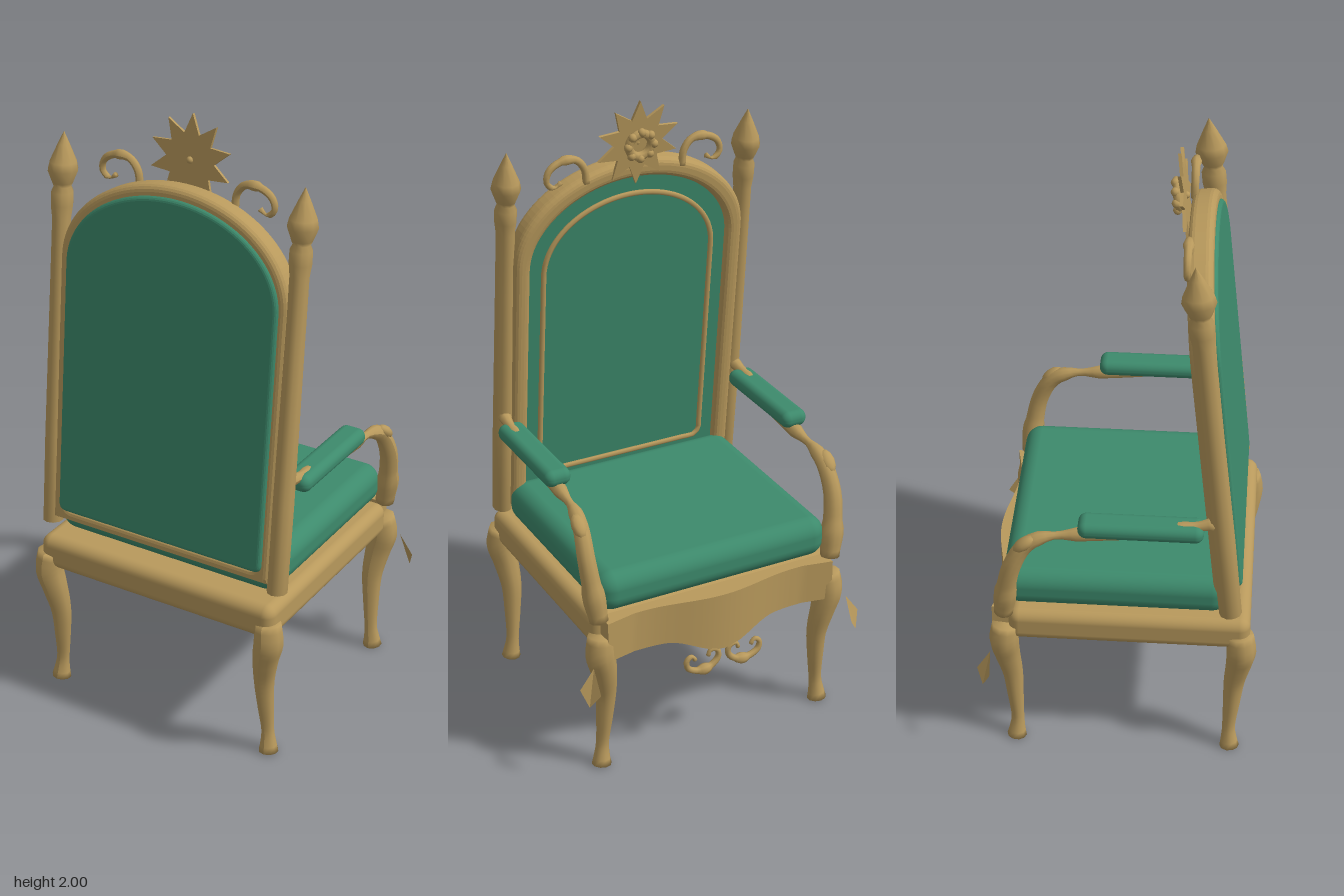
import * as THREE from 'three';
import { RoundedBoxGeometry } from 'three/addons/geometries/RoundedBoxGeometry.js';

const gold = new THREE.MeshStandardMaterial({ color: 0xb8995c, side: THREE.DoubleSide });
gold.name = 'gilded wood';
const green = new THREE.MeshStandardMaterial({ color: 0x3d8a6c });
green.name = 'green upholstery';

const vec = (p) => new THREE.Vector3(...p);

function add(parent, name, geo, mat, x = 0, y = 0, z = 0) {
  const mesh = new THREE.Mesh(geo, mat);
  mesh.name = name;
  mesh.position.set(x, y, z);
  parent.add(mesh);
  return mesh;
}

// Closed tube along points [x, y, z, radius], with flat end caps
function limb(points, sides = 10, n = 26) {
  const curve = new THREE.CatmullRomCurve3(points.map((p) => vec(p.slice(0, 3))));
  const radii = new THREE.CatmullRomCurve3(points.map((p) => new THREE.Vector3(p[3], 0, 0)));
  const geo = new THREE.TubeGeometry(curve, n, 1, sides, false);
  const pos = geo.attributes.position;
  for (let i = 0; i <= n; i++) {
    const from = curve.getPointAt(i / n);
    const t = Math.min(1, Math.max(0, (i - 1) / (n - 2)));
    const to = curve.getPointAt(t);
    const r = i === 0 || i === n ? 0 : radii.getPoint(curve.getUtoTmapping(t)).x;
    for (let j = 0; j <= sides; j++) {
      const k = i * (sides + 1) + j;
      const v = new THREE.Vector3().fromBufferAttribute(pos, k).sub(from).multiplyScalar(r).add(to);
      pos.setXYZ(k, v.x, v.y, v.z);
    }
  }
  geo.computeVertexNormals();
  return geo;
}

// Arch-topped outline: half width, bottom, top, arch height, lower corner radius
function arch(w, y0, y1, rise, c) {
  const s = new THREE.Shape();
  s.moveTo(-w + c, y0);
  s.lineTo(w - c, y0);
  s.quadraticCurveTo(w, y0, w, y0 + c);
  s.lineTo(w, y1 - rise);
  s.absellipse(0, y1 - rise, w, rise, 0, Math.PI, false, 0);
  s.lineTo(-w, y0 + c);
  s.quadraticCurveTo(-w, y0, -w + c, y0);
  return s;
}

function extrude(shape, z0, z1, bevel) {
  const geo = new THREE.ExtrudeGeometry(shape, {
    depth: z1 - z0 - 2 * bevel, bevelEnabled: bevel > 0, bevelThickness: bevel,
    bevelSize: bevel, bevelOffset: -bevel, bevelSegments: 4, curveSegments: 28,
  });
  return geo.translate(0, 0, z0 + bevel);
}

// Serpentine front rail with a scalloped lower edge, lofted across x
function apronGeometry() {
  const geo = new THREE.BoxGeometry(0.8, 1, 1, 40, 1, 1);
  const pos = geo.attributes.position;
  for (let i = 0; i < pos.count; i++) {
    const x = pos.getX(i);
    const a = Math.abs(x);
    const swell = 0.5 + 0.5 * Math.cos(Math.PI * Math.min(1, a / 0.27));
    const drop = 0.5 + 0.5 * Math.cos(Math.PI * Math.min(1, a / 0.2));
    const front = -0.372 - 0.034 * swell - 0.02 * Math.max(0, (a - 0.3) / 0.1);
    pos.setY(i, pos.getY(i) > 0 ? 0.563 : 0.425 - 0.06 * drop);
    pos.setZ(i, pos.getZ(i) > 0 ? -0.335 : front);
  }
  geo.computeVertexNormals();
  return geo;
}

function starGeometry() {
  const s = new THREE.Shape();
  for (let i = 0; i < 20; i++) {
    const r = i % 2 ? 0.082 : 0.14;
    const a = (i * Math.PI) / 10;
    s[i ? 'lineTo' : 'moveTo'](r * Math.sin(a), r * Math.cos(a));
  }
  s.closePath();
  return extrude(s, -0.005, 0.005, 0);
}

function kneeLeaf(s) {
  const p = [[0.452, 0.42, -0.395], [0.5, 0.355, -0.395], [0.48, 0.3, -0.42], [0.45, 0.345, -0.44]];
  const order = s > 0 ? [0, 1, 2, 0, 2, 3] : [0, 2, 1, 0, 3, 2];
  const geo = new THREE.BufferGeometry().setFromPoints(order.map((i) => new THREE.Vector3(p[i][0] * s, p[i][1], p[i][2])));
  geo.computeVertexNormals();
  return geo;
}

// Everything on the tilted back, in a frame that starts at the foot of the back
function buildBack() {
  const back = new THREE.Group();
  back.name = 'backrest';
  back.position.set(0, 0.6, 0.355);
  back.rotation.x = -0.103;

  const frame = arch(0.4, 0.02, 1.205, 0.3, 0.01);
  frame.holes.push(arch(0.345, 0.065, 1.145, 0.26, 0.02));
  add(back, 'backFrame', extrude(frame, -0.042, 0.036, 0.022), gold);
  add(back, 'backPanel', extrude(arch(0.372, 0.058, 1.172, 0.275, 0.03), -0.018, 0.047, 0.014), green);

  // Beading on the seat side
  const bead = arch(0.295, 0.12, 1.085, 0.23, 0.02).getSpacedPoints(90).slice(0, -1);
  const beadPath = new THREE.CatmullRomCurve3(bead.map((p) => new THREE.Vector3(p.x, p.y, -0.02)), true);
  add(back, 'backBeading', new THREE.TubeGeometry(beadPath, 140, 0.009, 6, true), gold);

  const profile = [[0, 0], [0.032, 0], [0.033, 0.3], [0.03, 0.8], [0.029, 1.02], [0.034, 1.06], [0.034, 1.1],
    [0.026, 1.118], [0.031, 1.13], [0.046, 1.17], [0.041, 1.195], [0.018, 1.25], [0, 1.29]];
  for (const s of [-1, 1]) {
    const post = add(back, 'backPost', new THREE.LatheGeometry(profile.map((p) => new THREE.Vector2(...p)), 10), gold, 0.415 * s, 0, 0.006);
    post.scale.z = 1.12;
  }
  return back;
}

function buildCrest() {
  const crest = new THREE.Group();
  crest.name = 'crest';
  const star = new THREE.Group();
  star.name = 'starOrnament';
  star.position.set(0, 1.861, 0.178);
  star.rotation.x = -0.13;
  crest.add(star);
  add(star, 'star', starGeometry(), gold);
  add(star, 'starStud', new THREE.SphereGeometry(0.011, 10, 8), gold, 0, 0, 0.004);
  add(star, 'rosetteRing', new THREE.TorusGeometry(0.038, 0.014, 8, 20), gold, 0, 0, -0.018);
  const petal = new THREE.SphereGeometry(0.014, 8, 6);
  for (let i = 0; i < 8; i++) {
    const a = (i * Math.PI) / 4;
    add(star, 'rosettePetal', petal, gold, 0.044 * Math.cos(a), 0.044 * Math.sin(a), -0.024);
  }
  const scroll = [[0.165, 1.75, 0.012], [0.172, 1.8, 0.012], [0.2, 1.832, 0.012], [0.25, 1.834, 0.012],
    [0.29, 1.81, 0.011], [0.298, 1.775, 0.01], [0.275, 1.753, 0.009], [0.25, 1.768, 0.009]];
  for (const s of [-1, 1]) {
    add(crest, 'crestScroll', limb(scroll.map(([x, y, r]) => [x * s, y, 0.2, r]), 8), gold);
  }
  return crest;
}

// Arm, front support, pad and carved details for one side
function buildArm(s) {
  const arm = new THREE.Group();
  arm.name = s > 0 ? 'leftArm' : 'rightArm';
  const path = [[0.42, 0.965, 0.31, 0.022], [0.425, 0.945, 0.22, 0.022], [0.42, 0.915, 0.05, 0.024],
    [0.42, 0.895, -0.12, 0.023], [0.425, 0.882, -0.22, 0.023], [0.43, 0.85, -0.275, 0.026],
    [0.435, 0.77, -0.318, 0.029], [0.428, 0.68, -0.338, 0.031], [0.412, 0.56, -0.353, 0.031]];
  add(arm, 'armRail', limb(path.map(([x, y, z, r]) => [x * s, y, z, r]), 10, 40), gold);
  add(arm, 'armPad', new RoundedBoxGeometry(0.088, 0.056, 0.385, 4, 0.026), green, 0.42 * s, 0.933, 0.08);
  const leaf = add(arm, 'armCarving', new THREE.SphereGeometry(1, 10, 8), gold, 0.438 * s, 0.862, -0.278);
  leaf.scale.set(0.024, 0.02, 0.042);
  leaf.rotation.x = -0.7;
  return arm;
}

// Cabriole leg; the knee and foot swing outward
function buildLeg(sx, sz) {
  const z0 = sz > 0 ? 0 : -0.045;
  const path = [[0.405, 0.5, 0.395, 0.042], [0.41, 0.44, 0.4, 0.047], [0.396, 0.37, 0.394, 0.042],
    [0.384, 0.28, 0.381, 0.034], [0.386, 0.18, 0.374, 0.027], [0.392, 0.08, 0.368, 0.021],
    [0.396, 0.035, 0.37, 0.026], [0.398, 0.005, 0.372, 0.032]];
  return limb(path.map(([x, y, z, r]) => [x * sx, y, (z + z0) * sz, r]).map((p) => p));
}

export function createModel() {
  const chair = new THREE.Group();
  chair.name = 'armchair';

  // Seat
  add(chair, 'seatFrame', new RoundedBoxGeometry(0.86, 0.115, 0.765, 4, 0.035), gold, 0, 0.507, 0.0425);
  add(chair, 'seatCushion', new RoundedBoxGeometry(0.805, 0.135, 0.715, 5, 0.055), green, 0, 0.632, -0.002);
  add(chair, 'frontApron', apronGeometry(), gold);

  const curl = [[0.1, 0.345, 0.007], [0.112, 0.362, 0.008], [0.13, 0.35, 0.009], [0.126, 0.322, 0.01],
    [0.09, 0.303, 0.011], [0.045, 0.308, 0.011], [0.018, 0.335, 0.01], [0.022, 0.362, 0.009],
    [0.045, 0.368, 0.008], [0.054, 0.348, 0.007]];
  for (const s of [-1, 1]) {
    for (const f of [-1, 1]) add(chair, f > 0 ? 'backLeg' : 'frontLeg', buildLeg(s, f), gold);
    add(chair, 'kneeLeaf', kneeLeaf(s), gold);
    add(chair, 'apronScroll', limb(curl.map(([x, y, r]) => [x * s, y, -0.398, r]), 8, 36), gold);
    chair.add(buildArm(s));
  }
  chair.add(buildBack(), buildCrest());
  return chair;
}
